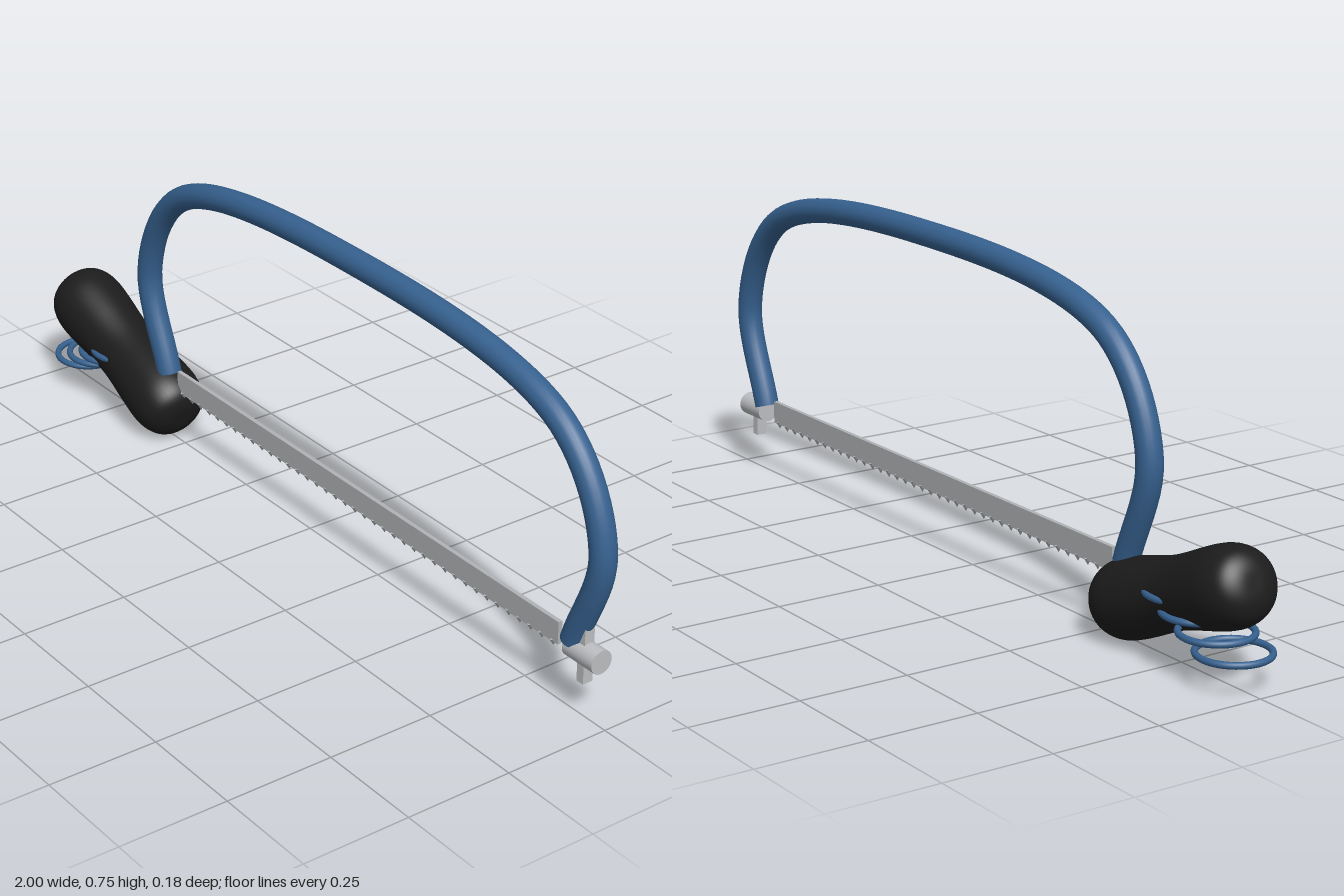
import * as THREE from 'three';

const mat = (name, color, side = THREE.FrontSide) => {
  const m = new THREE.MeshStandardMaterial({ color, side });
  m.name = name;
  return m;
};

export function createModel() {
  const blue = mat('blue paint', 0x36618f, THREE.DoubleSide);
  const black = mat('black rubber', 0x1c1c1c);
  const steel = mat('blade steel', 0xb0b2b5);
  const bright = mat('bright steel', 0xbcbec1);

  const root = new THREE.Group();
  root.name = 'bowSaw';
  const add = (name, geometry, material, x = 0, y = 0, z = 0, parent = root) => {
    const mesh = new THREE.Mesh(geometry, material);
    mesh.name = name;
    mesh.position.set(x, y, z);
    parent.add(mesh);
    return mesh;
  };

  // Bow frame: a symmetric tube bent around x = 0.167
  const half = [[0.728, 0.17], [0.801, 0.41], [0.665, 0.637]];
  const points = [
    ...half.map(([d, y]) => new THREE.Vector3(0.167 - d, y, 0)),
    new THREE.Vector3(0.167, 0.728, 0),
    ...half.slice().reverse().map(([d, y]) => new THREE.Vector3(0.167 + d, y, 0)),
  ];
  const path = new THREE.CatmullRomCurve3(points);
  add('frame', new THREE.TubeGeometry(path, 96, 0.029, 20), blue);

  // Grip: rounded ends with a slim waist, turned along its own axis
  const side = [[0, 0.25], [0.03, 0.249], [0.055, 0.24], [0.074, 0.222], [0.085, 0.192], [0.0875, 0.155], [0.084, 0.1], [0.079, 0.045]];
  const profile = new THREE.SplineCurve([
    ...side.map(([r, y]) => new THREE.Vector2(r, -y)),
    new THREE.Vector2(0.077, 0),
    ...side.slice().reverse().map(([r, y]) => new THREE.Vector2(r, y)),
  ]).getPoints(60);
  profile.forEach((p) => { p.x = Math.max(p.x, 0); });
  const grip = add('handle', new THREE.LatheGeometry(profile, 40), black, -0.743, 0.154, 0);
  grip.rotation.z = THREE.MathUtils.degToRad(70);

  // Lanyard: four flat rings stepping down out of the grip
  const lanyard = new THREE.Group();
  lanyard.name = 'lanyard';
  root.add(lanyard);
  for (let i = 0; i < 4; i++) {
    add('lanyardRing', new THREE.TorusGeometry(0.078, 0.0075, 10, 40), blue,
      -0.75 - i * 0.055, 0.16 - i * 0.027, 0, lanyard).rotation.x = Math.PI / 2;
  }

  // Blade with a row of small pointed teeth
  add('blade', new THREE.BoxGeometry(1.372, 0.053, 0.01), steel, 0.167, 0.1635, 0);
  const teeth = new THREE.Group();
  teeth.name = 'teeth';
  root.add(teeth);
  const tooth = new THREE.ConeGeometry(0.01, 0.016, 4).rotateX(Math.PI);
  for (let i = 0; i < 39; i++) add('tooth', tooth, steel, -0.5 + i * 0.0351, 0.133, 0, teeth);

  // Tension screw and its cross bar
  add('tensionScrew', new THREE.CylinderGeometry(0.027, 0.027, 0.09, 24), bright, 0.935, 0.158, 0)
    .rotation.z = Math.PI / 2;
  add('crossBar', new THREE.BoxGeometry(0.02, 0.135, 0.025), bright, 0.932, 0.158, 0);

  return root;
}
